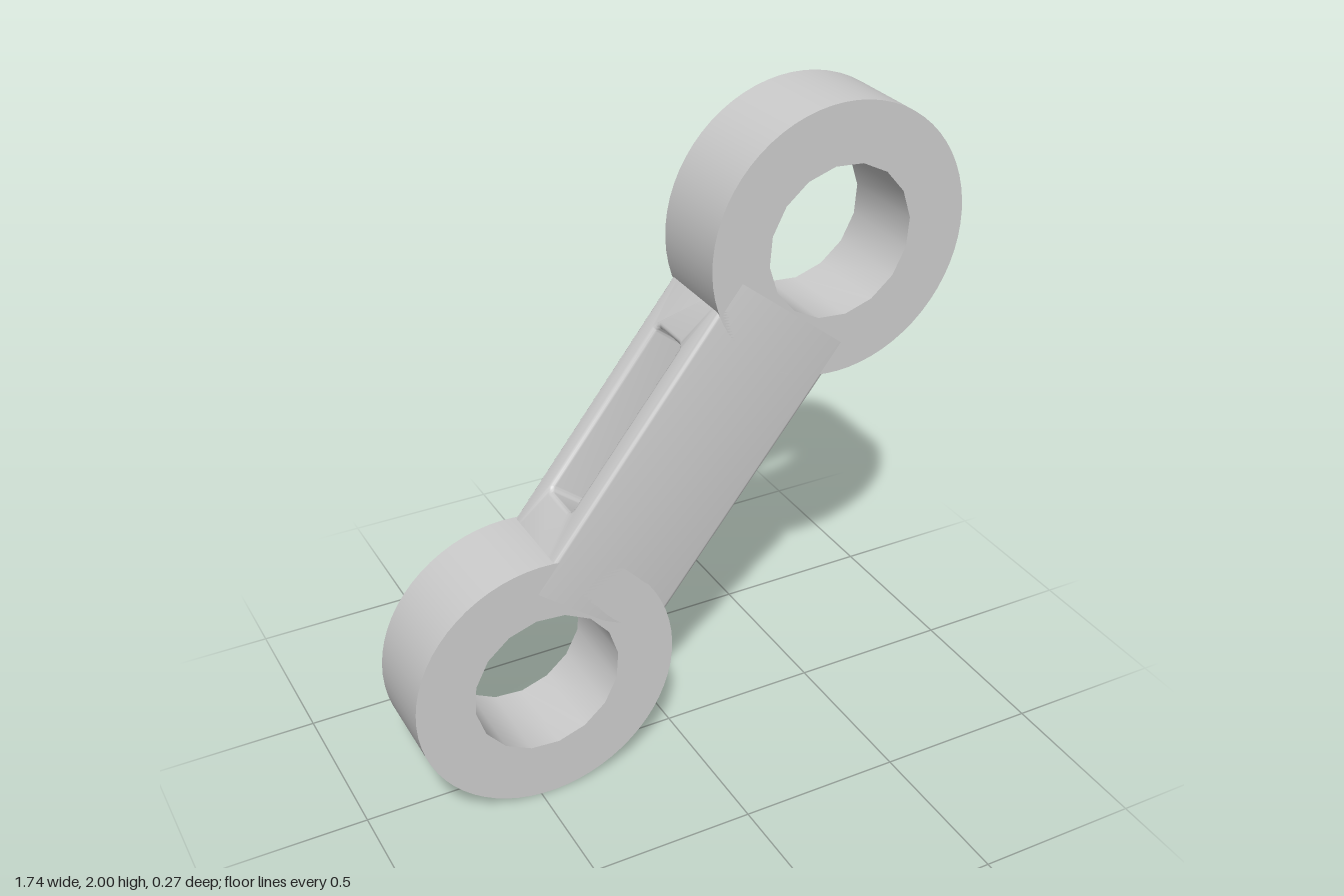
import * as THREE from 'three';
import { toCreasedNormals } from 'three/addons/utils/BufferGeometryUtils.js';

const DEPTH = 0.27;          // thickness front to back
const REACH = 0.755;         // link centre to ring centre
const HALF_WIDTH = 0.222;    // half the bar's width
const ROUND = 0.014;         // edge rounding on the bar

const material = new THREE.MeshStandardMaterial({ color: 0xcccccc });

// Points of a circle, first point on +x
function circlePoints(radius, sides) {
  return Array.from({ length: sides }, (_, i) => {
    const a = (i / sides) * Math.PI * 2;
    return new THREE.Vector2(radius * Math.cos(a), radius * Math.sin(a));
  });
}

// Rounded rectangle centred on the origin
function roundedRect(path, hx, hy, r) {
  path.moveTo(hx, -hy + r);
  path.absarc(hx - r, hy - r, r, 0, Math.PI / 2);
  path.absarc(-hx + r, hy - r, r, Math.PI / 2, Math.PI);
  path.absarc(-hx + r, -hy + r, r, Math.PI, Math.PI * 1.5);
  path.absarc(hx - r, -hy + r, r, Math.PI * 1.5, Math.PI * 2);
  path.closePath();
  return path;
}

// End ring with a bore
function ringGeometry() {
  const shape = new THREE.Shape(circlePoints(0.405, 64));
  shape.holes.push(new THREE.Path(circlePoints(0.228, 16)));
  const geometry = new THREE.ExtrudeGeometry(shape, { depth: DEPTH, bevelEnabled: false });
  geometry.translate(0, 0, -DEPTH / 2);
  return toCreasedNormals(geometry, 0.6);
}

// Bar whose slot runs right through its width, with rounded edges and slot mouths
function barGeometry() {
  const hx = 0.518, hz = DEPTH / 2;
  const shape = new THREE.Shape([
    new THREE.Vector2(-hx, -hz), new THREE.Vector2(hx, -hz),
    new THREE.Vector2(hx, hz), new THREE.Vector2(-hx, hz),
  ]);
  shape.holes.push(roundedRect(new THREE.Path(), 0.281, 0.07, 0.018));
  const depth = 2 * (HALF_WIDTH - ROUND);
  const geometry = new THREE.ExtrudeGeometry(shape, {
    depth, curveSegments: 4,
    bevelThickness: ROUND, bevelSize: ROUND, bevelOffset: -ROUND, bevelSegments: 4,
  });
  geometry.translate(0, 0, -depth / 2);
  geometry.rotateX(-Math.PI / 2);
  return toCreasedNormals(geometry, 0.6);
}

export function createModel() {
  const model = new THREE.Group();
  model.name = 'link';

  // Everything is laid out along x, then tilted upright
  const link = new THREE.Group();
  link.name = 'tiltedLink';
  link.position.y = 1;
  link.rotation.z = Math.atan2(1.19, 0.93);
  model.add(link);

  const bar = new THREE.Mesh(barGeometry(), material);
  bar.name = 'slottedBar';
  link.add(bar);

  for (const side of [-1, 1]) {
    const ring = new THREE.Mesh(ringGeometry(), material);
    ring.name = side < 0 ? 'lowerRing' : 'upperRing';
    ring.position.x = side * REACH;
    link.add(ring);
  }
  return model;
}
